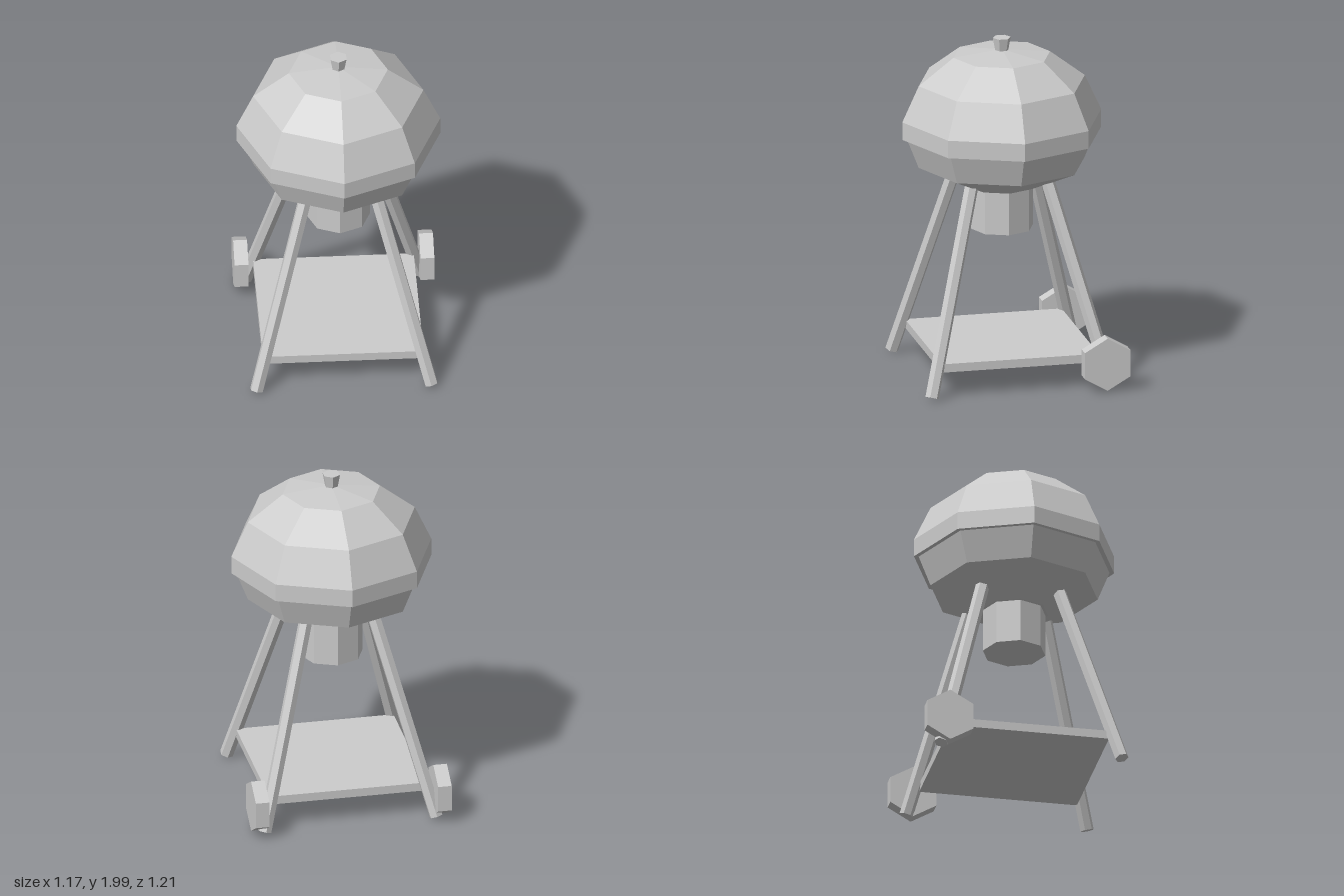
import * as THREE from 'three';

const ZC = 0.018; // centre of the grill along z; the wheels stick out behind

export function createModel() {
  const model = new THREE.Group();
  const mat = new THREE.MeshStandardMaterial({ color: 0xcccccc, flatShading: true });

  const add = (name, geometry, x, y, z) => {
    const mesh = new THREE.Mesh(geometry, mat);
    mesh.name = name;
    mesh.position.set(x, y, z);
    model.add(mesh);
    return mesh;
  };
  const lathe = (points) =>
    new THREE.LatheGeometry(points.map(([r, y]) => new THREE.Vector2(r, y)), 8);

  // Kettle: eight-sided bowl with a slightly wider lid over it
  add('bowl', lathe([[0, 1.12], [0.2, 1.12], [0.49, 1.25], [0.56, 1.427]]), 0, 0, ZC);
  add('lid', lathe([[0.54, 1.425], [0.587, 1.425], [0.587, 1.53], [0.49, 1.74],
    [0.285, 1.897], [0, 1.93]]), 0, 0, ZC);
  add('lidKnob', new THREE.CylinderGeometry(0.053, 0.038, 0.08, 6), 0, 1.96, ZC);
  add('ashCatcher', new THREE.CylinderGeometry(0.183, 0.183, 0.27, 8), 0, 1.0, ZC);

  // Four splayed hexagonal legs
  const up = new THREE.Vector3(0, 1, 0);
  for (const sx of [-1, 1]) {
    for (const sz of [-1, 1]) {
      const top = new THREE.Vector3(sx * 0.2, 1.18, ZC + sz * 0.225);
      const foot = new THREE.Vector3(sx * 0.503, 0.02, ZC + sz * 0.53);
      const mid = top.clone().add(foot).multiplyScalar(0.5);
      const dir = top.clone().sub(foot);
      const name = (sz > 0 ? 'front' : 'back') + (sx > 0 ? 'Left' : 'Right') + 'Leg';
      const leg = add(name, new THREE.CylinderGeometry(0.04, 0.04, dir.length(), 6),
        mid.x, mid.y, mid.z);
      leg.quaternion.setFromUnitVectors(up, dir.normalize());
    }
  }

  // Lower shelf
  add('shelf', new THREE.BoxGeometry(0.925, 0.05, 0.925), 0, 0.18, ZC);

  // Hexagonal wheels on the outside of the back legs, one corner pointing up
  for (const sx of [-1, 1]) {
    const wheel = new THREE.CylinderGeometry(0.156, 0.156, 0.08, 6);
    wheel.rotateY(Math.PI / 6).rotateZ(Math.PI / 2);
    add(sx > 0 ? 'leftWheel' : 'rightWheel', wheel, sx * 0.535, 0.17, -0.472);
  }

  return model;
}
